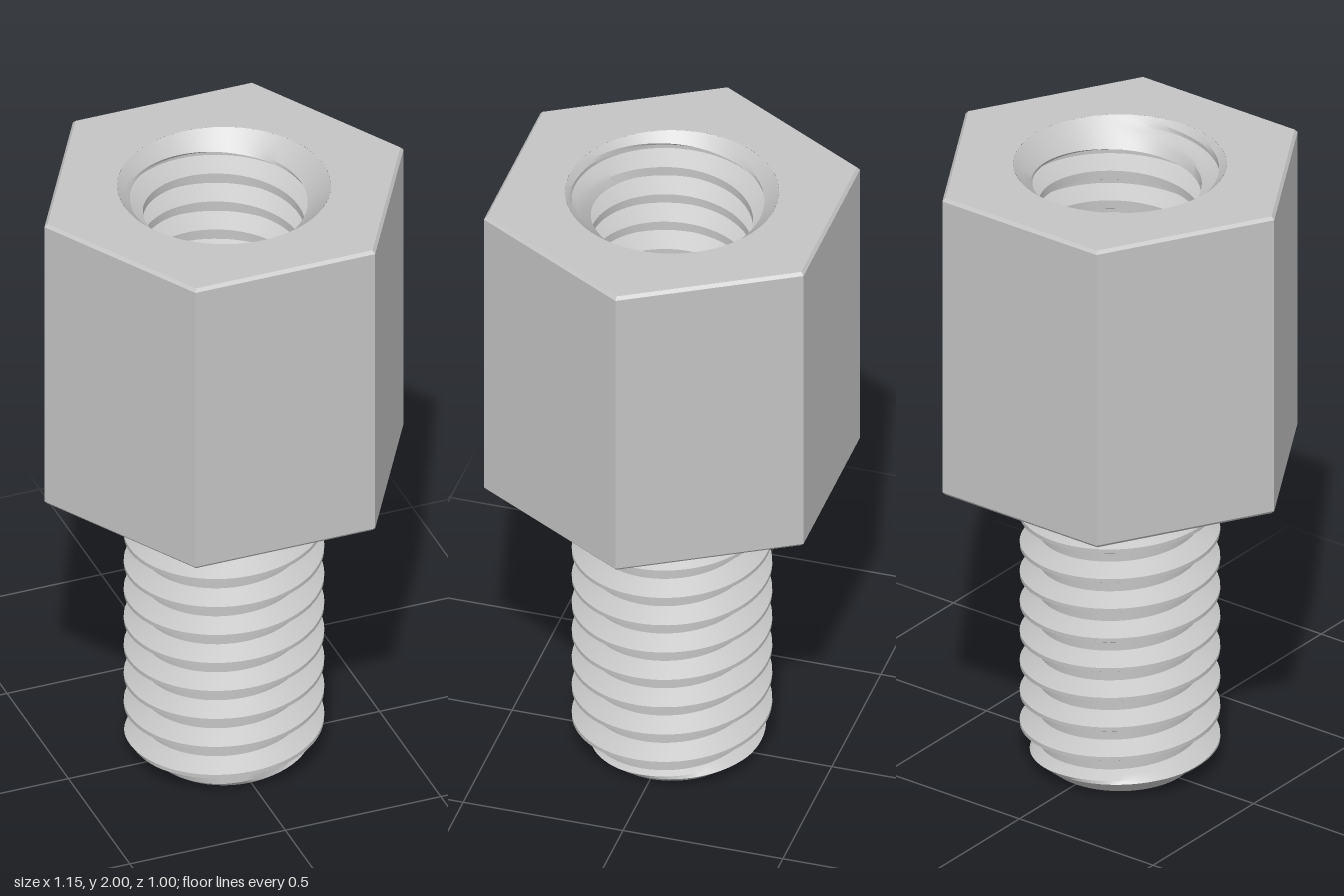
import * as THREE from 'three';
import { toCreasedNormals } from 'three/addons/utils/BufferGeometryUtils.js';

const PITCH = 0.1, MINOR = 0.243, MAJOR = 0.3, SEG = 72;
const CREASE = 0.5;

// One pitch of the thread: fractions of the pitch where rows of vertices lie
const ROWS = [-0.0625, 0.0625, 0.16, 0.26, 0.36, 0.64, 0.74, 0.84];

// Trapezoidal thread radius; t is the distance from the crest in pitches
function threadRadius(t) {
  const d = Math.abs(t - Math.round(t));
  const k = THREE.MathUtils.clamp((d - 0.0625) / (0.36 - 0.0625), 0, 1);
  return MAJOR + (MINOR - MAJOR) * k;
}

// Right-handed helical surface from y0 to y1, trimmed by limit(radius, y)
function threadGeometry(y0, y1, phase, limit, inward) {
  const base = [];
  for (let k = -2; k <= Math.ceil((y1 - y0) / PITCH) + 1; k++)
    for (const f of ROWS) base.push(k + f);

  const point = (i, j) => {
    const turn = j / SEG, a = turn * Math.PI * 2;
    const y = THREE.MathUtils.clamp(y0 + phase + (base[i] + turn) * PITCH, y0, y1);
    const r = limit(threadRadius((y - y0 - phase) / PITCH - turn), y);
    return [r * Math.cos(a), y, -r * Math.sin(a)];
  };

  const pos = [];
  const tri = (a, b, c) => {
    if (a[1] === b[1] && b[1] === c[1]) return;
    pos.push(...a, ...(inward ? c : b), ...(inward ? b : c));
  };
  for (let i = 0; i < base.length - 1; i++)
    for (let j = 0; j < SEG; j++) {
      const a = point(i, j), b = point(i, j + 1), c = point(i + 1, j + 1), d = point(i + 1, j);
      tri(a, b, c);
      tri(a, c, d);
    }
  const g = new THREE.BufferGeometry();
  g.setAttribute('position', new THREE.Float32BufferAttribute(pos, 3));
  return toCreasedNormals(g, CREASE);
}

export function createModel() {
  const group = new THREE.Group();
  const steel = new THREE.MeshStandardMaterial({ color: 0xc4c4c4 });
  steel.name = 'steel';
  const add = (name, geometry, y = 0) => {
    const mesh = new THREE.Mesh(geometry, steel);
    mesh.name = name;
    mesh.position.y = y;
    group.add(mesh);
    return mesh;
  };

  // Hexagonal body: sides, small chamfers and underside
  const R = 1 / Math.sqrt(3), r = R - 0.01;
  const profile = [[0, 1], [r, 1], [R, 1.01], [R, 1.99], [r, 2]].map(p => new THREE.Vector2(...p));
  add('hexBody', toCreasedNormals(new THREE.LatheGeometry(profile, 6, Math.PI / 2), CREASE));

  // Top face with the hole
  const hex = new THREE.Shape();
  for (let i = 0; i < 6; i++) {
    const a = i * Math.PI / 3;
    hex[i ? 'lineTo' : 'moveTo'](r * Math.cos(a), r * Math.sin(a));
  }
  hex.closePath();
  hex.holes.push(new THREE.Path().absarc(0, 0, 0.32, 0, Math.PI * 2, true));
  add('topFace', new THREE.ShapeGeometry(hex, SEG).rotateX(-Math.PI / 2), 2);

  // Threaded hole with countersink, and its floor
  add('threadedHole', threadGeometry(1.2, 2, 0, (q, y) => Math.max(q, 0.32 - (2 - y)), true));
  add('holeFloor', new THREE.CircleGeometry(MAJOR, SEG).rotateX(-Math.PI / 2), 1.2);

  // Threaded stud with chamfered tip
  add('threadedStud', threadGeometry(0, 1, 0.015, (q, y) => Math.min(q, 0.22 + y * 1.2), false));
  add('studTip', new THREE.CircleGeometry(0.22, SEG).rotateX(Math.PI / 2));

  return group;
}
